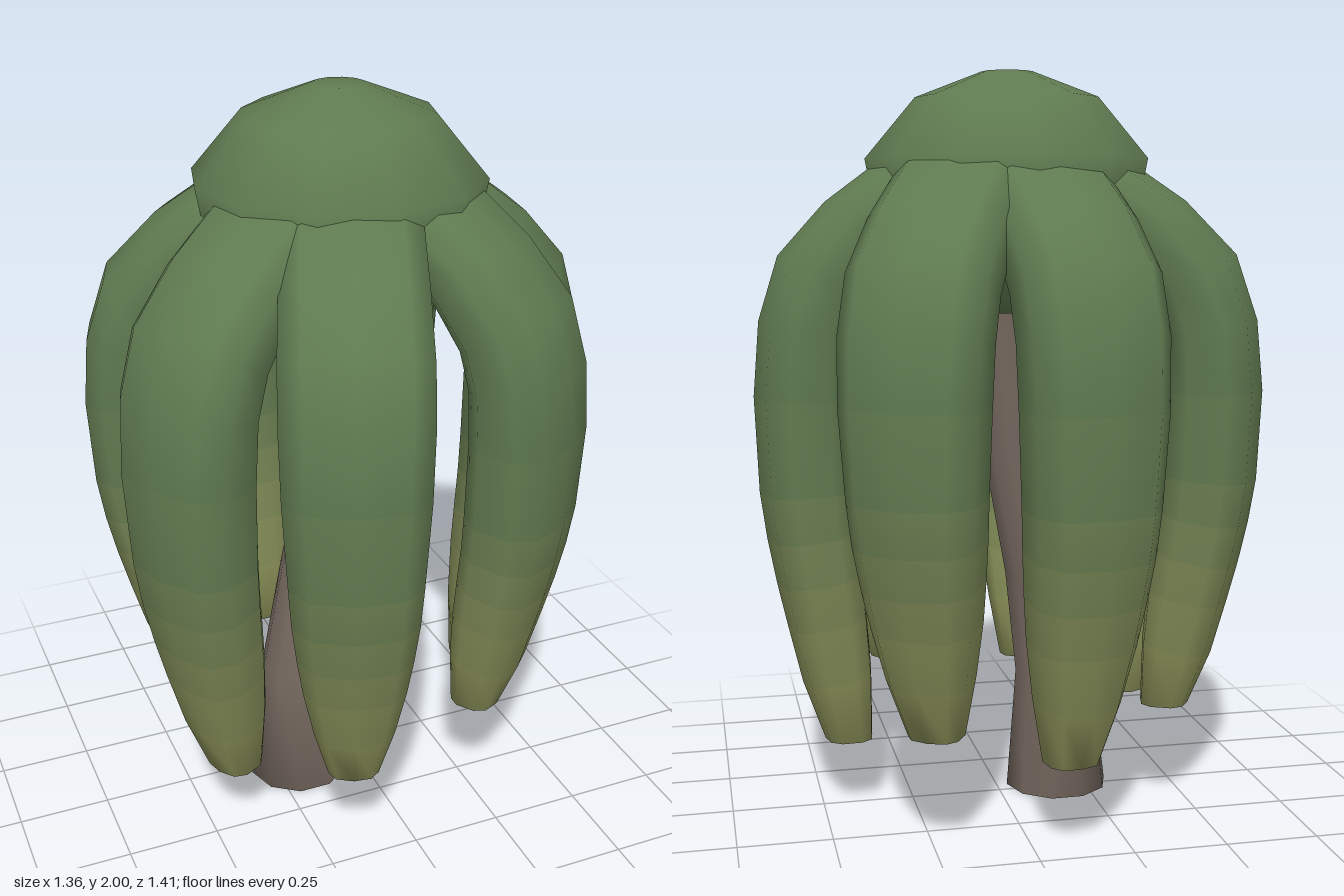
import * as THREE from 'three';

const SIDES = 10;
const V = (x, y, z) => new THREE.Vector3(x, y, z);

// Lofts oval rings along a downward path; ends with a softly shaded cap.
// rings: { c: centre, w: half width, t: half thickness }, angle: heading around y
function loft(rings, angle, power) {
  const b = V(-Math.sin(angle), 0, Math.cos(angle));
  const pos = [], index = [];
  const soften = (v) => Math.sign(v) * Math.abs(v) ** power;
  const last = rings.length - 1;
  rings.forEach(({ c, w, t }, i) => {
    const tangent = i === last ? V(0, -1, 0)
      : rings[i + 1].c.clone().sub(rings[Math.max(i - 1, 0)].c).normalize();
    const n = b.clone().cross(tangent).normalize();
    for (let j = 0; j < SIDES; j++) {
      const a = (j / SIDES) * Math.PI * 2;
      const p = c.clone()
        .addScaledVector(n, soften(Math.cos(a)) * t)
        .addScaledVector(b, soften(Math.sin(a)) * w);
      pos.push(p.x, p.y, p.z);
    }
  });
  for (let i = 0; i < last; i++) {
    for (let j = 0; j < SIDES; j++) {
      const k = (j + 1) % SIDES, r = i * SIDES, s = r + SIDES;
      index.push(r + j, r + k, s + j, r + k, s + k, s + j);
    }
  }
  const base = last * SIDES;
  for (let j = 1; j < SIDES - 1; j++) index.push(base, base + j, base + j + 1);
  const geo = new THREE.BufferGeometry();
  geo.setAttribute('position', new THREE.Float32BufferAttribute(pos, 3));
  geo.setIndex(index);
  geo.computeVertexNormals();
  return geo;
}

// Part of a loft from one ring to another, keeping the shared smooth normals
function band(geo, from, to) {
  const part = new THREE.BufferGeometry();
  part.setAttribute('position', geo.attributes.position);
  part.setAttribute('normal', geo.attributes.normal);
  part.setIndex(Array.from(geo.index.array.slice(from * SIDES * 6, to * SIDES * 6)));
  return part;
}

function addMesh(parent, name, geo, material) {
  const mesh = new THREE.Mesh(geo, material);
  mesh.name = name;
  parent.add(mesh);
  return mesh;
}

export function createModel() {
  const model = new THREE.Group();
  model.name = 'weepingTree';
  const paint = (color) => new THREE.MeshStandardMaterial({ color });
  const green = new THREE.Color(0x5f7a50), olive = new THREE.Color(0x8a9058);

  // Crown: faceted dome with a broad, tapering underside
  const profile = [[0, 1.37], [0.19, 1.37], [0.3, 1.5], [0.36, 1.64], [0.385, 1.77],
    [0.25, 1.93], [0.07, 2], [0, 2]].map(([r, y]) => new THREE.Vector2(r, y));
  const crown = addMesh(model, 'crown', new THREE.LatheGeometry(profile, 12), paint(green));
  crown.position.set(-0.02, 0, -0.01);

  // Fronds: radius from the axis, height, half width, half thickness
  const shape = [
    [0.08, 1.75, 0.17, 0.07], [0.28, 1.68, 0.18, 0.1], [0.40, 1.58, 0.185, 0.11],
    [0.50, 1.46, 0.19, 0.12], [0.54, 1.33, 0.19, 0.12], [0.55, 1.15, 0.185, 0.125],
    [0.54, 0.90, 0.172, 0.125], [0.528, 0.78, 0.165, 0.12], [0.51, 0.66, 0.153, 0.115],
    [0.49, 0.54, 0.138, 0.108], [0.465, 0.38, 0.11, 0.095], [0.435, 0.20, 0.07, 0.065],
  ];
  // Green fades to olive towards the tips: [first ring, last ring, blend]
  const fades = [[0, 5, 0], [5, 6, 0.08], [6, 7, 0.25], [7, 8, 0.45], [8, 9, 0.65],
    [9, 10, 0.85], [10, Infinity, 1]]
    .map(([from, to, k]) => ({ from, to, mat: paint(green.clone().lerp(olive, k)) }));
  // Tip position of each frond: x, z, height
  const tips = [[0.43, -0.02, 0.2], [0.25, 0.35, 0.32], [-0.17, 0.45, 0.27], [-0.43, 0.23, 0.21],
    [-0.42, -0.2, 0.3], [-0.09, -0.45, 0.24], [0.25, -0.41, 0.32]];
  tips.forEach(([x, z, tipY], i) => {
    const angle = Math.atan2(z, x), spread = Math.hypot(x, z) / 0.435;
    const rings = shape.map(([r, y, w, t]) => {
      const h = y < 1.33 ? tipY + (y - 0.2) * (1.33 - tipY) / 1.13 : y;
      return { c: V(Math.cos(angle) * r * spread, h, Math.sin(angle) * r * spread), w, t };
    });
    const geo = loft(rings, angle, 0.75);
    const frond = new THREE.Group();
    frond.name = `frond${i + 1}`;
    fades.forEach(({ from, to, mat }, k) =>
      addMesh(frond, `frondBand${k + 1}`, band(geo, from, to), mat));
    model.add(frond);
  });

  // Trunk: leaning, flared at the foot
  const trunk = [[0.01, 1.5, 0, 0.085], [0.003, 1.37, 0, 0.085], [-0.04, 1, 0.01, 0.086],
    [-0.115, 0.65, 0.025, 0.095], [-0.165, 0.35, 0.04, 0.11], [-0.175, 0, 0.04, 0.145]]
    .map(([x, y, z, r]) => ({ c: V(x, y, z), w: r, t: r }));
  addMesh(model, 'trunk', loft(trunk, 0, 1), paint(0x75685f));

  return model;
}
